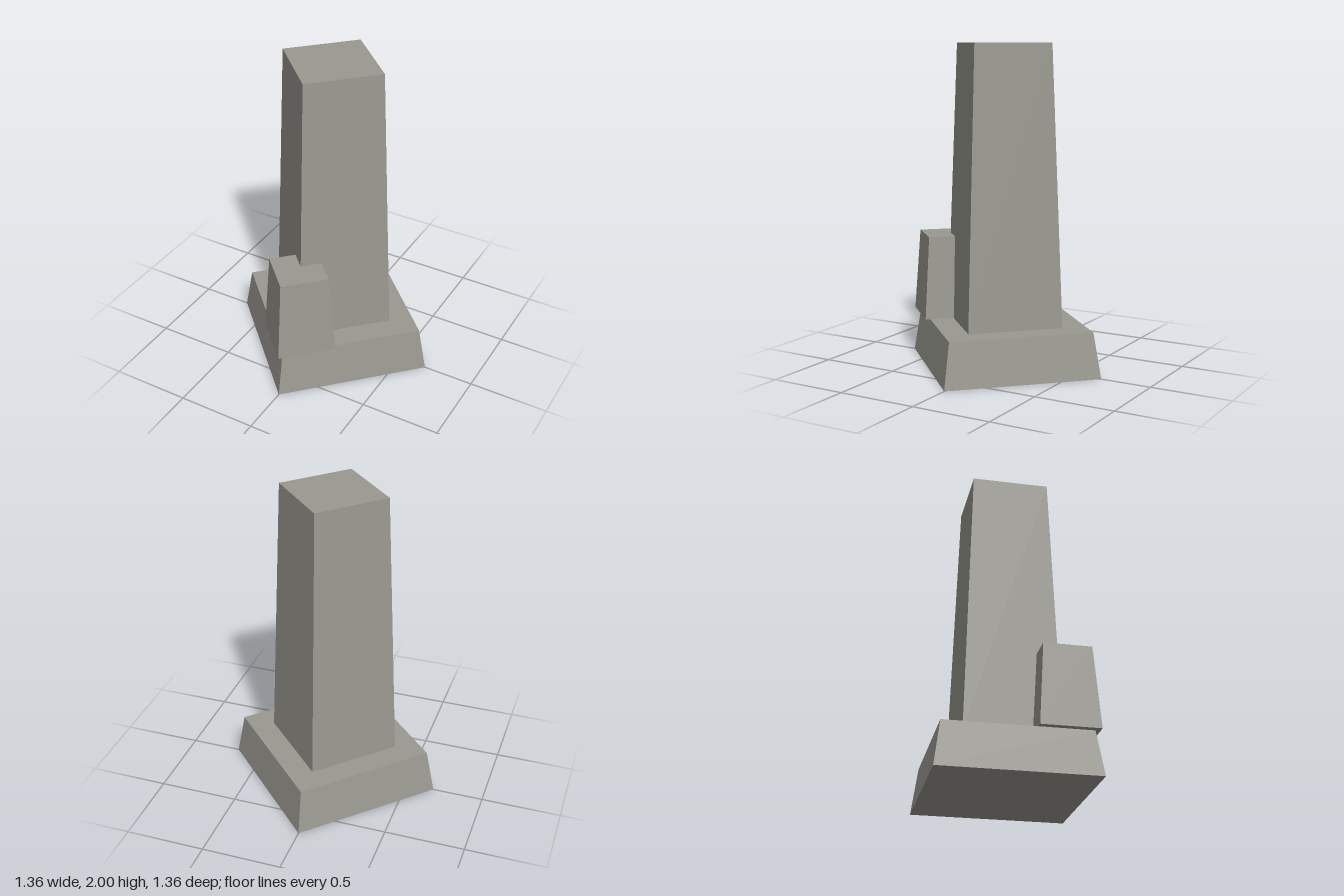
import * as THREE from 'three';

export function createModel() {
  const model = new THREE.Group();
  model.name = 'stonePillar';

  const stone = new THREE.MeshStandardMaterial({ color: 0x9a9991, flatShading: true });
  stone.name = 'grey stone';

  // Tapered square block, turned so its corners lie on the axes
  function taperedBlock(name, bottomRadius, topRadius, y0, y1, z = 0) {
    const geometry = new THREE.CylinderGeometry(topRadius, bottomRadius, y1 - y0, 4);
    const mesh = new THREE.Mesh(geometry, stone);
    mesh.name = name;
    mesh.position.set(0, (y0 + y1) / 2, z);
    model.add(mesh);
  }

  taperedBlock('plinth', 0.68, 0.625, 0, 0.28);
  taperedBlock('shaft', 0.415, 0.335, 0.28, 2);
  // Small block on the front corner of the plinth
  taperedBlock('frontBlock', 0.255, 0.208, 0.283, 0.8, 0.416);

  return model;
}
